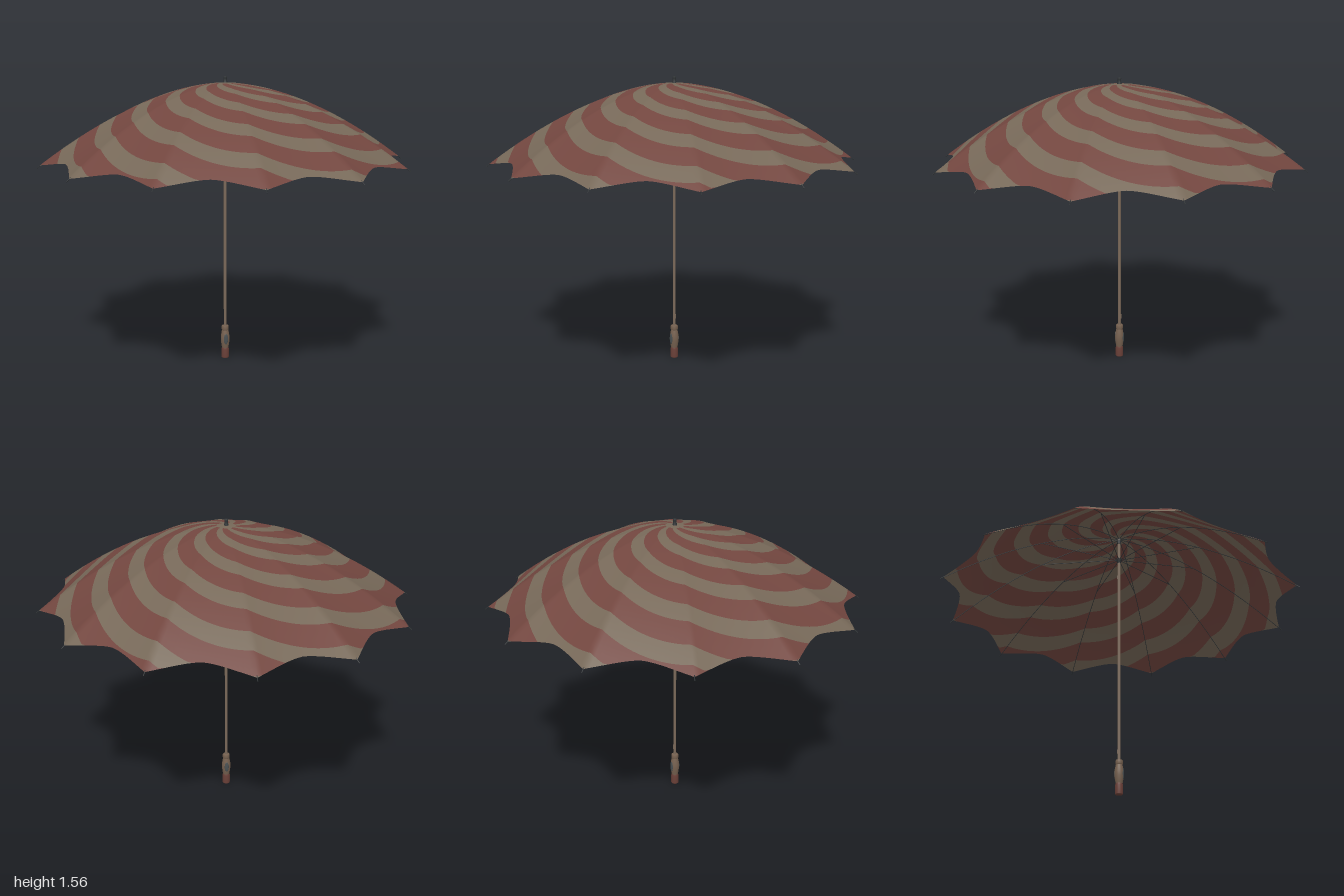
import * as THREE from 'three';
import { mergeVertices } from 'three/addons/utils/BufferGeometryUtils.js';

const RAD = Math.PI / 180;
const PANELS = 12, STEP = 360 / PANELS;   // fabric panels
const PERIOD = 45, TWIST = 223;           // stripe spacing (deg), twist (deg per unit radius)
const RED_FROM = -18, RED_TO = 7;         // phase of a red stripe (deg)
const CROWN = 0.05;                       // radius of the plain patch at the top

const mat = (name, color, double) => {
  const m = new THREE.MeshStandardMaterial({ color });
  m.name = name;
  if (double) m.side = THREE.DoubleSide;
  return m;
};

// Height of a rib at a given radius
const ribHeight = (r) => 1.53 - 0.43 * Math.pow(r, 1.75);

// Angle from the middle of a panel
const panelDelta = (a) => {
  const m = ((a % STEP) + STEP) % STEP;
  return Math.abs(m - STEP / 2);
};

// Scalloped rim radius
const rim = (a) => 0.89 + 0.095 * Math.pow(panelDelta(a) / (STEP / 2), 1.7);

// Point on the fabric: panels stretched between ribs with a slight sag
const fabricPoint = (a, r) => {
  const d = panelDelta(a), t = d / (STEP / 2);
  const ribR = r * Math.cos(d * RAD) / Math.cos(STEP / 2 * RAD);
  const y = ribHeight(ribR) - 0.015 * r * r * (1 - t * t);
  return new THREE.Vector3(r * Math.sin(a * RAD), y, r * Math.cos(a * RAD));
};

// Spiral bands between two phase angles, cut off at an inner and outer radius
function spiralBands(from, to, inner, outer) {
  const pos = [], da = 1.5, rows = 3;
  const tri = (p, q, s) => {
    const n = q.clone().sub(p).cross(s.clone().sub(p));
    if (n.length() > 1e-9) for (const v of [p, q, s]) pos.push(v.x, v.y, v.z);
  };
  const edge = (a, phase, n) =>
    THREE.MathUtils.clamp(0.9 + (a - phase - PERIOD * n) / TWIST, inner, outer(a));
  for (let a = 0; a < 360; a += da) {
    const b = a + da;
    for (let n = -3; n <= 14; n++) {
      for (let i = 0; i < rows; i++) {
        const at = (ang, k) => {
          const r = THREE.MathUtils.lerp(edge(ang, to, n), edge(ang, from, n), k / rows);
          return fabricPoint(ang, r);
        };
        const A = at(a, i), B = at(a, i + 1), C = at(b, i + 1), D = at(b, i);
        tri(A, B, C);
        tri(A, C, D);
      }
    }
  }
  const g = new THREE.BufferGeometry();
  g.setAttribute('position', new THREE.Float32BufferAttribute(pos, 3));
  const merged = mergeVertices(g, 1e-5);
  merged.computeVertexNormals();
  return merged;
}

export function createModel() {
  const red = mat('red fabric', 0x72463f, true);
  const tan = mat('tan fabric', 0x766858, true);
  const dark = mat('dark metal', 0x2e3234);
  const shaftMat = mat('shaft metal', 0x7b6959);
  const gripMat = mat('tan grip', 0x75604f);
  const capMat = mat('red brown cap', 0x6a4038);
  const plateMat = mat('grey inlay', 0x4a5052);

  const model = new THREE.Group();
  model.name = 'umbrella';
  const add = (name, geo, material, parent = model) => {
    const m = new THREE.Mesh(geo, material);
    m.name = name;
    parent.add(m);
    return m;
  };
  const lathe = (pts, seg = 20) =>
    new THREE.LatheGeometry(pts.map(([x, y]) => new THREE.Vector2(x, y)), seg);

  // Canopy
  add('redStripes', spiralBands(RED_FROM, RED_TO, CROWN, rim), red);
  add('tanStripes', spiralBands(RED_TO, RED_FROM + PERIOD, CROWN, rim), tan);
  add('crownPatch', spiralBands(0, PERIOD, 0, () => CROWN), tan);

  // Ribs and stretchers under the canopy
  for (let i = 0; i < PANELS; i++) {
    const arm = new THREE.Group();
    arm.name = 'ribArm';
    arm.rotation.y = i * STEP * RAD;
    const pts = [];
    for (let k = 0; k <= 10; k++) {
      const r = 0.01 + 0.97 * k / 10;
      pts.push(new THREE.Vector3(0, ribHeight(r) - 0.004, r));
    }
    add('rib', new THREE.TubeGeometry(new THREE.CatmullRomCurve3(pts), 20, 0.002, 5), dark, arm);
    const stretcher = new THREE.LineCurve3(
      new THREE.Vector3(0, 1.39, 0.01), new THREE.Vector3(0, ribHeight(0.45) - 0.006, 0.45));
    add('stretcher', new THREE.TubeGeometry(stretcher, 1, 0.002, 5), dark, arm);
    const end = new THREE.LineCurve3(
      new THREE.Vector3(0, ribHeight(0.975) - 0.002, 0.975), new THREE.Vector3(0, 1.098, 1));
    add('ribTip', new THREE.TubeGeometry(end, 1, 0.0025, 6), dark, arm);
    model.add(arm);
  }

  // Hub, sliding runner and top ferrule
  add('hub', new THREE.CylinderGeometry(0.012, 0.012, 0.02, 16), dark).position.y = 1.508;
  add('runner', lathe([[0.008, 1.37], [0.011, 1.37], [0.011, 1.383], [0.015, 1.385],
    [0.015, 1.397], [0.008, 1.4]]), dark);
  add('ferrule', lathe([[0.014, 1.52], [0.012, 1.535], [0.009, 1.542], [0.009, 1.552],
    [0.01, 1.556], [0.009, 1.563], [0, 1.564]], 16), dark);

  // Shaft with its two spring catches
  add('shaft', new THREE.CylinderGeometry(0.008, 0.008, 1.36, 16), shaftMat).position.y = 0.85;
  for (const y of [0.235, 1.28]) {
    add('springCatch', new THREE.BoxGeometry(0.003, 0.024, 0.006), shaftMat).position.set(0, y, -0.009);
  }

  // Handle
  add('handleCap', lathe([[0, 0], [0.018, 0], [0.021, 0.004], [0.021, 0.05], [0.018, 0.06]]), capMat);
  add('grip', lathe([[0.018, 0.058], [0.021, 0.075], [0.0245, 0.1], [0.0245, 0.122],
    [0.021, 0.145], [0.017, 0.163]]), gripMat);
  add('handleCollar', lathe([[0.017, 0.16], [0.02, 0.165], [0.02, 0.182], [0.016, 0.187],
    [0, 0.187]]), gripMat);

  // Oval inlays on the front and back of the grip
  for (const s of [1, -1]) {
    const inlay = add('gripInlay', new THREE.SphereGeometry(1, 16, 12), plateMat);
    inlay.scale.set(0.012, 0.03, 0.003);
    inlay.position.set(0, 0.111, s * 0.0225);
  }
  return model;
}
